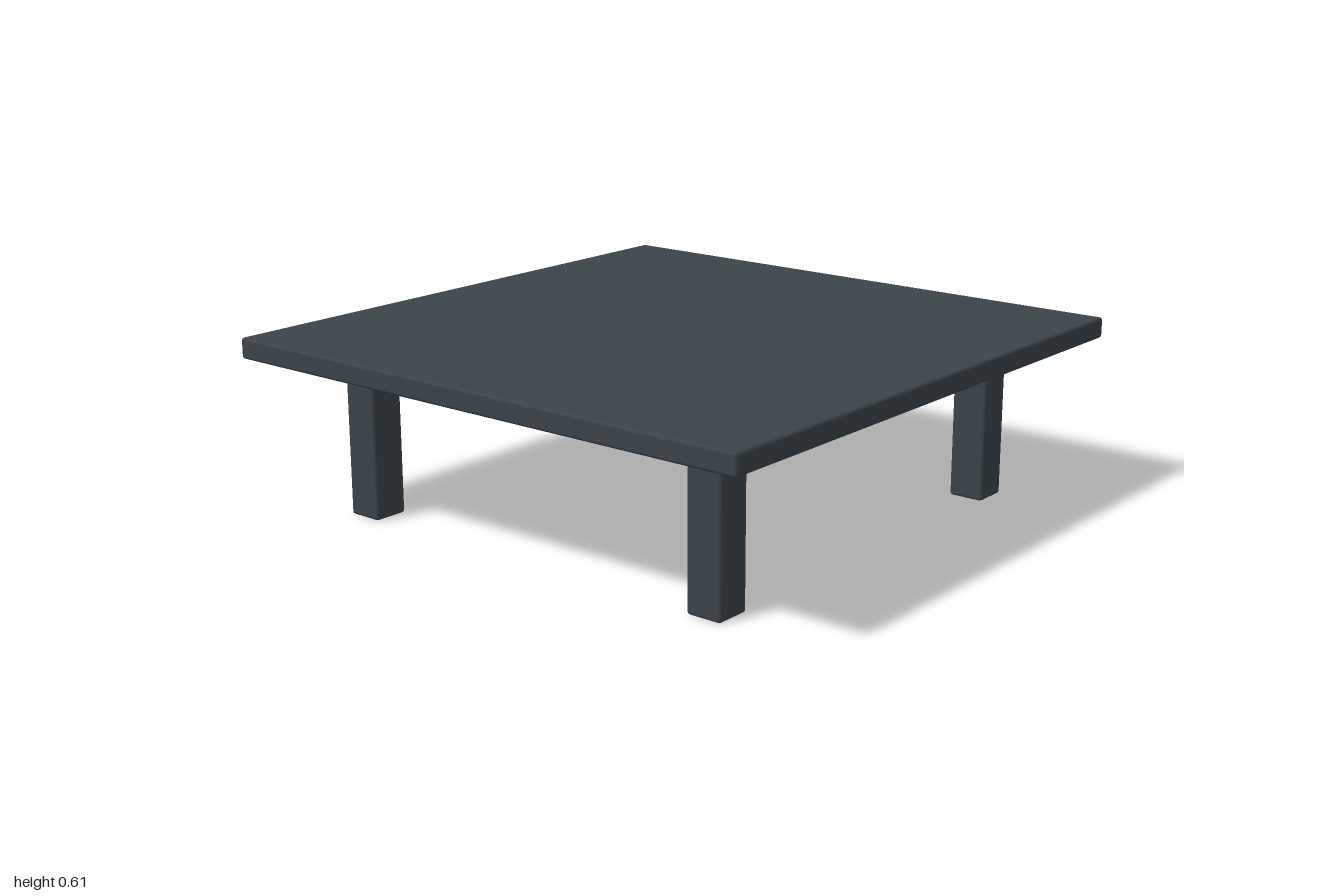
import * as THREE from 'three';
import { RoundedBoxGeometry } from 'three/addons/geometries/RoundedBoxGeometry.js';

export function createModel() {
  const table = new THREE.Group();
  table.name = 'lowTable';
  const material = new THREE.MeshStandardMaterial({ color: 0x3b444a });

  const topY = 0.605, topThickness = 0.07, bevel = 0.01;
  const legHeight = topY - topThickness, legWidth = 0.123, legOffset = 0.708;

  // Square slab with slightly eased edges
  const top = new THREE.Mesh(new RoundedBoxGeometry(2, topThickness, 2, 2, bevel), material);
  top.name = 'tableTop';
  top.position.y = topY - topThickness / 2;
  table.add(top);

  // Four square legs, inset from the corners
  const legGeometry = new RoundedBoxGeometry(legWidth, legHeight, legWidth, 2, bevel);
  for (const [zName, sz] of [['front', 1], ['back', -1]]) {
    for (const [xName, sx] of [['Left', 1], ['Right', -1]]) {
      const leg = new THREE.Mesh(legGeometry, material);
      leg.name = `${zName}${xName}Leg`;
      leg.position.set(sx * legOffset, legHeight / 2, sz * legOffset);
      table.add(leg);
    }
  }
  return table;
}
